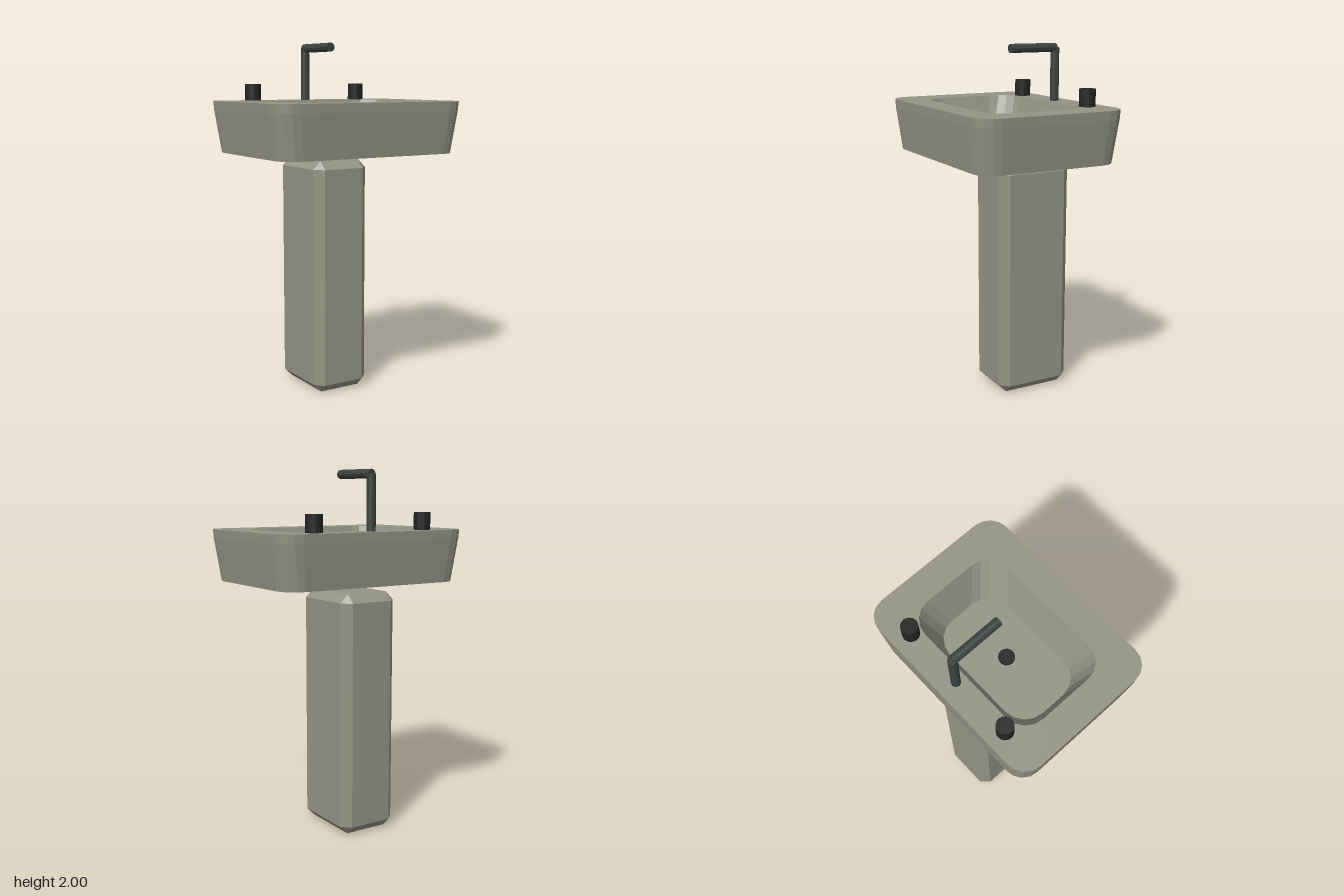
import * as THREE from 'three';
import { ConvexGeometry } from 'three/addons/geometries/ConvexGeometry.js';

// Rounded rectangle loop at height y, with half sizes hx and hz
function roundedLoop(y, hx, hz, r, steps = 4) {
  const loop = [];
  const corners = [[1, 1], [-1, 1], [-1, -1], [1, -1]];
  corners.forEach(([sx, sz], q) => {
    for (let k = 0; k <= steps; k++) {
      const a = (q + k / steps) * Math.PI / 2;
      loop.push([sx * (hx - r) + r * Math.cos(a), y, sz * (hz - r) + r * Math.sin(a)]);
    }
  });
  return loop;
}

// Skin consecutive loops with quads
function loft(loops) {
  const n = loops[0].length, index = [];
  for (let i = 0; i < loops.length - 1; i++) {
    for (let j = 0; j < n; j++) {
      const a = i * n + j, b = i * n + (j + 1) % n;
      index.push(a, a + n, b, b, a + n, b + n);
    }
  }
  const geo = new THREE.BufferGeometry();
  geo.setAttribute('position', new THREE.Float32BufferAttribute(loops.flat(2), 3));
  geo.setIndex(index);
  const flat = geo.toNonIndexed();
  flat.computeVertexNormals();
  return flat;
}

// Box with all edges cut at 45 degrees
function chamferedBox(w, h, d, c) {
  const points = [];
  for (const x of [-1, 1]) for (const y of [-1, 1]) for (const z of [-1, 1]) {
    const X = w / 2, Y = h / 2, Z = d / 2;
    points.push(
      new THREE.Vector3(x * X, y * (Y - c), z * (Z - c)),
      new THREE.Vector3(x * (X - c), y * Y, z * (Z - c)),
      new THREE.Vector3(x * (X - c), y * (Y - c), z * Z));
  }
  return new ConvexGeometry(points);
}

export function createModel() {
  const model = new THREE.Group();
  model.name = 'pedestalSink';

  const ceramic = new THREE.MeshStandardMaterial({ color: 0x949585, flatShading: true, side: THREE.DoubleSide });
  ceramic.name = 'ceramic';
  const metal = new THREE.MeshStandardMaterial({ color: 0x3c4341, flatShading: true });
  metal.name = 'dark metal';
  const black = new THREE.MeshStandardMaterial({ color: 0x242424, flatShading: true });
  black.name = 'black';

  function add(name, geometry, material, x, y, z) {
    const mesh = new THREE.Mesh(geometry, material);
    mesh.name = name;
    mesh.position.set(x, y, z);
    model.add(mesh);
    return mesh;
  }

  // Basin: open-bottomed skirt, flat rim, sloping bowl and floor
  const floorLoop = roundedLoop(1.43, 0.355, 0.21, 0.14);
  add('basin', loft([
    roundedLoop(1.385, 0.556, 0.411, 0.11),
    roundedLoop(1.625, 0.59, 0.435, 0.115),
    roundedLoop(1.675, 0.594, 0.437, 0.115),
    roundedLoop(1.675, 0.43, 0.283, 0.13),
    floorLoop,
    floorLoop.map(() => [0, 1.43, 0]),
  ]), ceramic, 0, 0, 0);

  // Pedestal
  add('pedestal', chamferedBox(0.346, 1.345, 0.446, 0.048), ceramic, 0, 0.6725, -0.133);

  // Drain
  add('drain', new THREE.CylinderGeometry(0.045, 0.045, 0.02, 16), black, 0, 1.435, 0);

  // Tap knobs
  for (const side of [1, -1]) {
    add(side > 0 ? 'leftKnob' : 'rightKnob',
      new THREE.CylinderGeometry(0.046, 0.046, 0.1, 16), black, side * 0.35, 1.72, -0.333);
  }

  // Faucet
  add('faucetPost', new THREE.CylinderGeometry(0.025, 0.025, 0.305, 12), metal, 0, 1.8225, -0.341);
  add('faucetSpout', new THREE.CylinderGeometry(0.025, 0.025, 0.293, 12), metal, 0, 1.975, -0.1965)
    .rotation.x = Math.PI / 2;

  return model;
}
